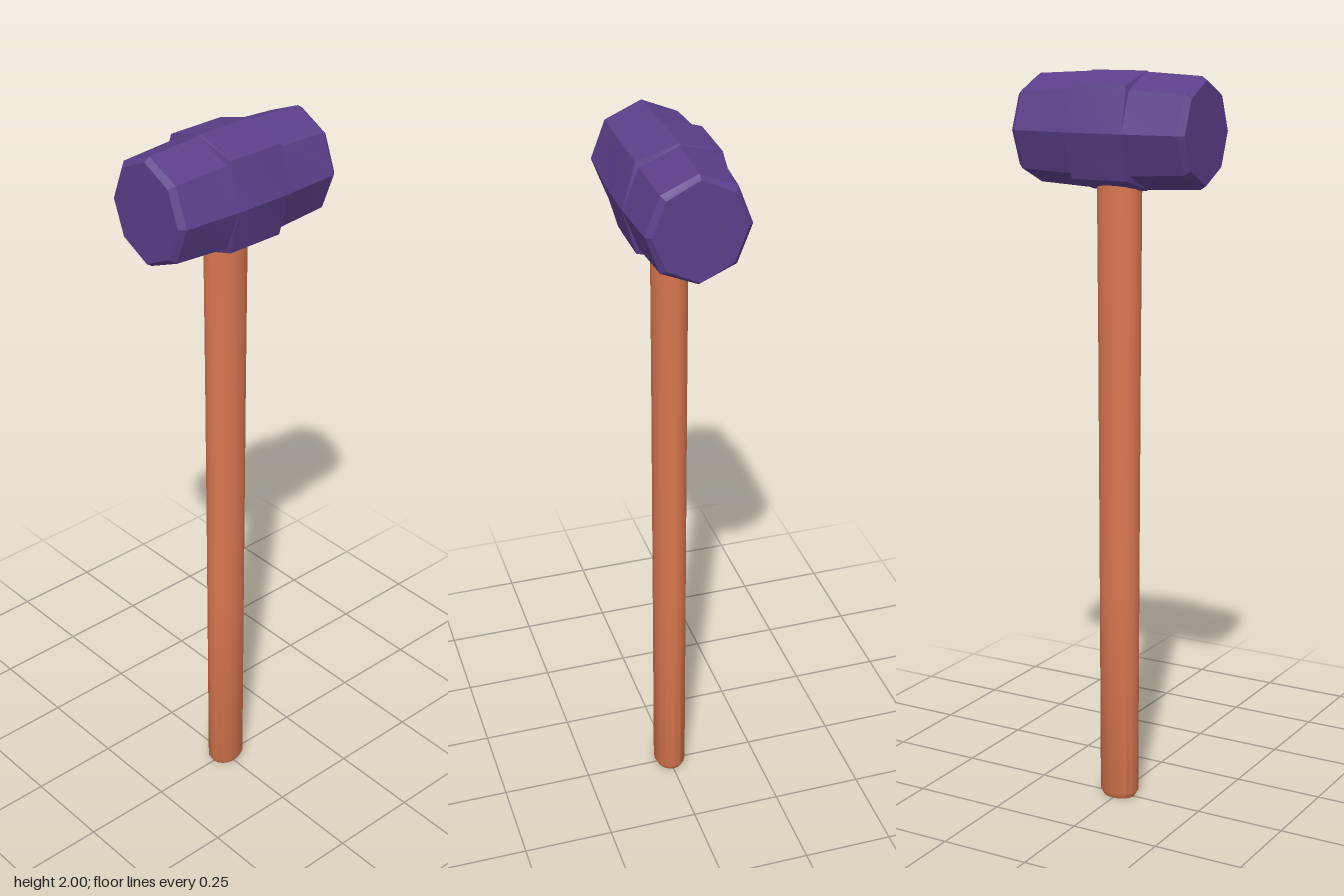
import * as THREE from 'three';
import { toCreasedNormals } from 'three/addons/utils/BufferGeometryUtils.js';

// Skin a closed solid through rings of equal length (ordered along +x), with capped ends
function loft(rings) {
  const n = rings[0].length;
  const index = [];
  for (let r = 0; r < rings.length - 1; r++) {
    for (let i = 0; i < n; i++) {
      const a = r * n + i, b = r * n + (i + 1) % n;
      index.push(a, b, b + n, a, b + n, a + n);
    }
  }
  const last = (rings.length - 1) * n;
  for (let i = 1; i < n - 1; i++) {
    index.push(0, i + 1, i);
    index.push(last, last + i, last + i + 1);
  }
  const geometry = new THREE.BufferGeometry();
  geometry.setAttribute('position', new THREE.Float32BufferAttribute(rings.flat(2), 3));
  geometry.setIndex(index);
  return toCreasedNormals(geometry, 0.4);
}

// Octagonal head section: height and depth radii, and the reach of the diagonal corners
function octagon(x, ry, rz, dy, dz) {
  const corners = [[ry, 0], [dy, dz], [0, rz], [-dy, dz], [-ry, 0], [-dy, -dz], [0, -rz], [dy, -dz]];
  return corners.map(([y, z]) => [x, y, z]);
}

export function createModel() {
  const model = new THREE.Group();
  model.name = 'sledgehammer';

  // Head: chamfered striking faces, swelling towards a raised centre block
  const half = [
    [0.253, 0.132, 0.12, 0.09, 0.085],
    [0.238, 0.142, 0.134, 0.1, 0.096],
    [0.085, 0.15, 0.143, 0.107, 0.102],
    [0.08, 0.153, 0.144, 0.12, 0.109],
  ];
  const sections = [
    ...half.map(([x, ...r]) => octagon(-x, ...r)),
    ...half.slice().reverse().map((s) => octagon(...s)),
  ];
  const head = new THREE.Mesh(loft(sections), new THREE.MeshStandardMaterial({ color: 0x5b3f8a }));
  head.name = 'head';
  head.position.y = 1.847;
  model.add(head);

  // Handle: oval shaft, slightly thicker towards the head, bevelled at the foot
  const profile = [[0, 0], [0.046, 0], [0.055, 0.015], [0.057, 0.6], [0.06, 1.3], [0.063, 1.75], [0, 1.75]]
    .map(([r, y]) => new THREE.Vector2(r, y));
  const shaft = new THREE.LatheGeometry(profile, 16);
  const p = shaft.attributes.position;
  for (let i = 0; i < p.count; i++) {
    // Depth stays nearly constant while the width tapers
    const depth = THREE.MathUtils.lerp(0.82, 0.74, p.getY(i) / 1.75);
    p.setZ(i, p.getZ(i) * depth);
  }
  const handle = new THREE.Mesh(toCreasedNormals(shaft, 0.6), new THREE.MeshStandardMaterial({ color: 0xd8764e }));
  handle.name = 'handle';
  model.add(handle);

  return model;
}
